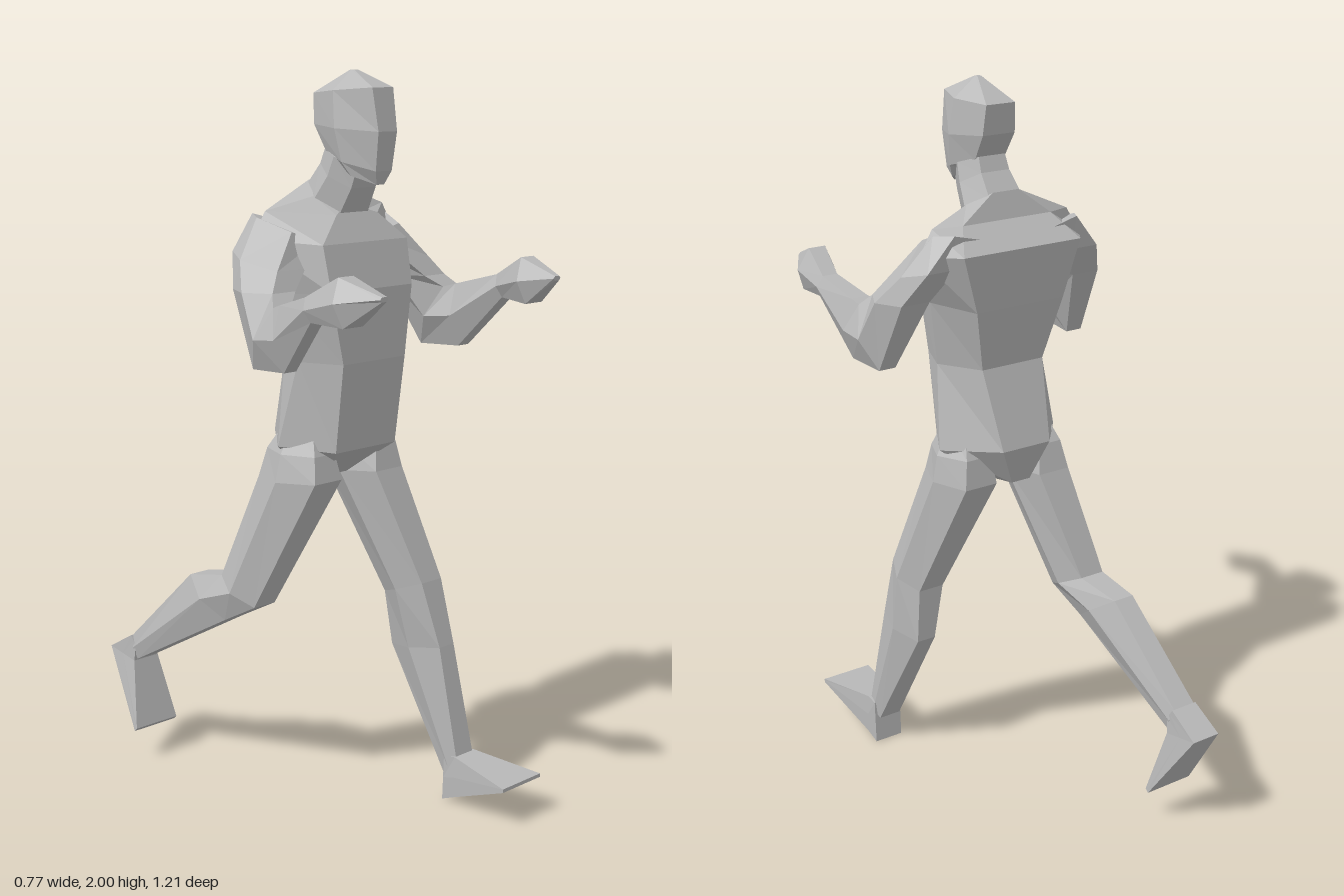
import * as THREE from 'three';

// Six-cornered cross-section: front and back edges as [y, z], widest in between.
// nf / nb narrow the front / back edge, tilt lowers the outer side,
// m places the widest points between front (0) and back (1).
function ring(x0, x1, [yf, zf], [yb, zb], nf = 0.6, nb = 0.6, tilt = 0, m = 0.5) {
  const c = (x0 + x1) / 2, h = (x1 - x0) / 2;
  const ym = yf + (yb - yf) * m, zm = zf + (zb - zf) * m;
  return [
    [-nf, yf, zf], [nf, yf, zf], [1, ym, zm],
    [nb, yb, zb], [-nb, yb, zb], [-1, ym, zm],
  ].map(([u, y, z]) => [c + u * h, y - u * tilt, z]);
}

// Skin a list of sections, close both ends and make sure the faces point outwards.
function loft(name, rings, material) {
  const n = rings[0].length;
  const points = rings.flat();
  const index = [];
  for (let r = 0; r < rings.length - 1; r++) {
    for (let i = 0; i < n; i++) {
      const a = r * n + i, b = r * n + (i + 1) % n;
      index.push([a, b, b + n], [a, b + n, a + n]);
    }
  }
  const last = (rings.length - 1) * n;
  for (let i = 1; i < n - 1; i++) {
    index.push([0, i + 1, i], [last, last + i, last + i + 1]);
  }
  const v = points.map((p) => new THREE.Vector3(...p));
  const volume = index.reduce((s, [a, b, c]) => s + v[a].dot(v[b].clone().cross(v[c])), 0);
  const faces = volume < 0 ? index.map(([a, b, c]) => [a, c, b]) : index;

  const indexed = new THREE.BufferGeometry().setFromPoints(v);
  indexed.setIndex(faces.flat());
  const geometry = indexed.toNonIndexed();
  geometry.computeVertexNormals();
  const mesh = new THREE.Mesh(geometry, material);
  mesh.name = name;
  return mesh;
}

export function createModel() {
  const grey = new THREE.MeshStandardMaterial({ color: 0xb8b8b8, flatShading: true });
  grey.name = 'grey';
  const model = new THREE.Group();
  model.name = 'runner';
  const add = (name, rings) => model.add(loft(name, rings, grey));

  // Head, leaning forward
  add('head', [
    ring(0.0, 0.02, [1.999, 0.17], [1.999, 0.155]),
    ring(-0.067, 0.085, [1.955, 0.267], [1.94, 0.06], 0.5, 0.6),
    ring(-0.075, 0.095, [1.845, 0.285], [1.86, 0.068], 0.4, 0.6),
    ring(-0.063, 0.083, [1.745, 0.272], [1.79, 0.11], 0.4, 0.65),
    ring(-0.045, 0.065, [1.71, 0.26], [1.755, 0.155], 0.25, 0.7),
  ]);

  add('neck', [
    ring(-0.06, 0.08, [1.76, 0.22], [1.8, 0.1]),
    ring(-0.065, 0.085, [1.7, 0.2], [1.76, 0.085]),
    ring(-0.078, 0.095, [1.63, 0.165], [1.7, 0.04]),
  ]);

  // Torso, with the shoulder ridge set towards the back
  add('torso', [
    ring(-0.075, 0.092, [1.64, 0.165], [1.715, 0.04], 0.6, 0.5),
    ring(-0.2, 0.235, [1.63, 0.17], [1.645, 0.02], 0.35, 0.65, 0, 0.8),
    ring(-0.245, 0.275, [1.56, 0.205], [1.58, -0.05], 0.6, 0.72, 0, 0.6),
    ring(-0.19, 0.21, [1.44, 0.235], [1.42, -0.03], 0.75, 0.7),
    ring(-0.15, 0.18, [1.25, 0.24], [1.25, 0], 0.7, 0.6),
    ring(-0.178, 0.208, [1.01, 0.21], [1.03, -0.065], 0.58, 0.4),
    ring(-0.05, 0.07, [0.925, 0.11], [0.92, -0.03], 0.6, 0.5),
  ]);

  // Arms: shoulder, upper arm, elbow, wrist, fist
  const arm = [
    ring(0.08, 0.24, [1.58, 0.14], [1.62, -0.015], 0.6, 0.6, -0.02, 0.65),
    ring(0.16, 0.322, [1.5, 0.175], [1.54, -0.005], 0.6, 0.55, 0.0, 0.6),
    ring(0.21, 0.368, [1.45, 0.2], [1.45, 0.05], 0.5, 0.55),
    ring(0.26, 0.385, [1.42, 0.23], [1.255, 0.145], 0.5, 0.4),
    ring(0.28, 0.385, [1.43, 0.26], [1.26, 0.27], 0.5, 0.4),
    ring(0.31, 0.385, [1.465, 0.39], [1.405, 0.41]),
    ring(0.272, 0.385, [1.52, 0.49], [1.4, 0.515], 0.45, 0.6),
    ring(0.297, 0.325, [1.48, 0.604], [1.468, 0.604]),
  ];
  add('leftArm', arm);
  // The right upper arm is held a little closer to the body
  add('rightArm', arm.map((r, i) => r.map(([x, y, z]) => [(i < 5 ? 0.022 : 0) - x, y, z * 0.97])));

  // Leading left leg, foot on its heel
  add('leftLeg', [
    ring(0.07, 0.165, [1.08, 0.14], [1.08, 0.04]),
    ring(0.05, 0.207, [1.0, 0.175], [1.0, 0.0], 0.5, 0.5),
    ring(0.035, 0.22, [0.93, 0.19], [0.92, -0.01], 0.55, 0.55),
    ring(0.12, 0.262, [0.62, 0.295], [0.57, 0.155], 0.55, 0.55),
    ring(0.15, 0.265, [0.44, 0.34], [0.41, 0.16], 0.5, 0.5),
    ring(0.18, 0.265, [0.13, 0.4], [0.08, 0.352], 0.8, 0.8),
  ]);
  add('leftFoot', [
    ring(0.18, 0.268, [0.13, 0.362], [0, 0.358], 1, 1),
    ring(0.178, 0.27, [0.135, 0.4], [0.018, 0.4], 0.9, 1),
    ring(0.145, 0.302, [0.116, 0.605], [0.106, 0.605], 1, 1),
  ]);

  // Trailing right leg, knee bent and shin swung back
  add('rightLeg', [
    ring(-0.135, -0.04, [1.08, 0.14], [1.08, 0.04]),
    ring(-0.178, -0.03, [1.0, 0.175], [1.0, -0.01], 0.5, 0.5),
    ring(-0.195, -0.015, [0.93, 0.19], [0.92, -0.03], 0.55, 0.55),
    ring(-0.232, -0.095, [0.56, 0.0], [0.625, -0.135], 0.55, 0.55),
    ring(-0.237, -0.11, [0.5, -0.115], [0.6, -0.265], 0.55, 0.5),
    ring(-0.235, -0.148, [0.295, -0.49], [0.365, -0.51], 0.8, 0.8),
  ]);
  add('rightFoot', [
    ring(-0.233, -0.15, [0.335, -0.49], [0.365, -0.51], 1, 1),
    ring(-0.235, -0.147, [0.29, -0.495], [0.31, -0.605], 1, 1),
    ring(-0.27, -0.12, [0.1, -0.445], [0.09, -0.455], 1, 1),
  ]);

  return model;
}
